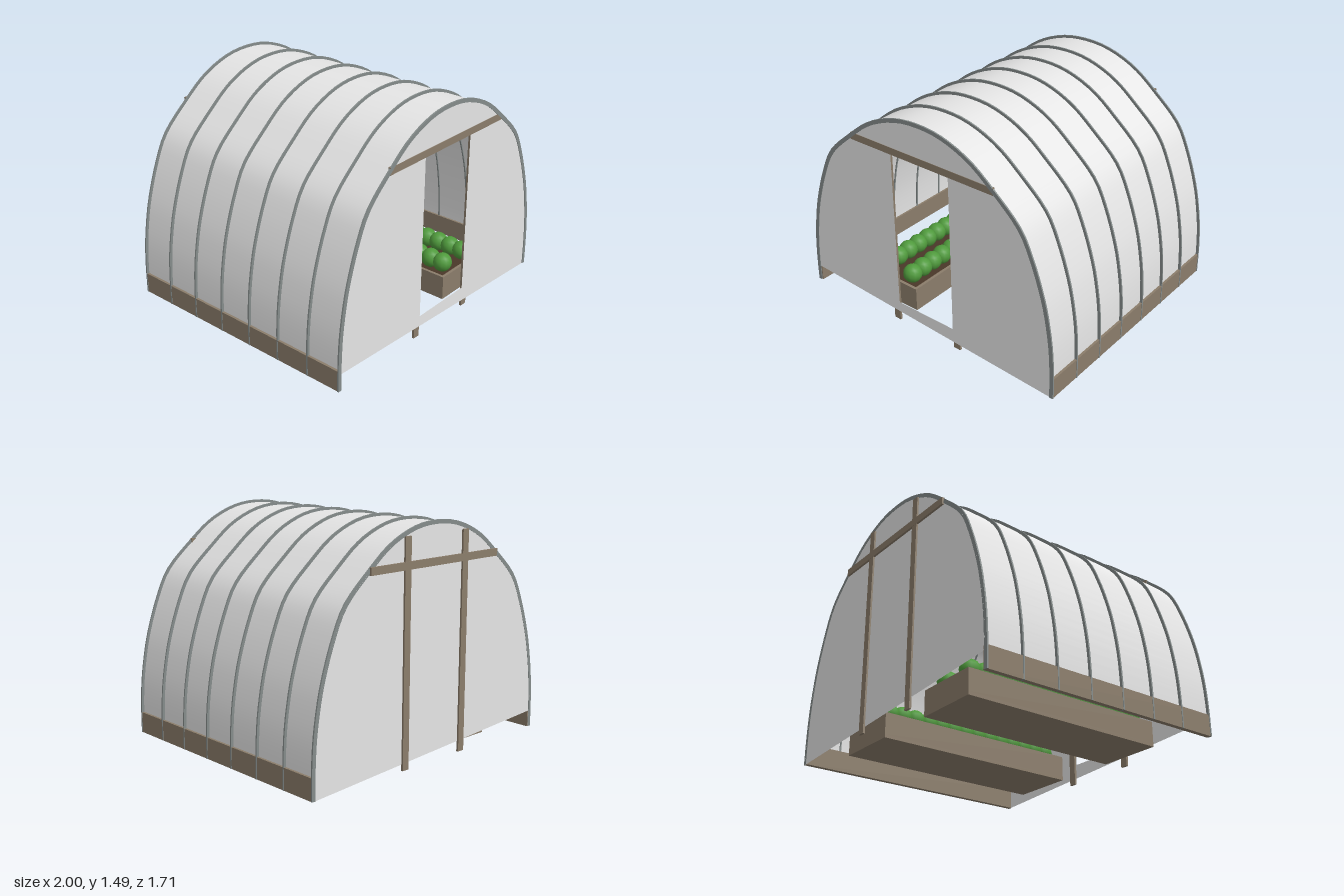
import * as THREE from 'three';

const mat = (name, color, side = THREE.FrontSide) => {
  const m = new THREE.MeshStandardMaterial({ color, side });
  m.name = name;
  return m;
};

// Half of the hoop outline, from the ground up to the ridge
const half = [[1, 0], [0.998, 0.18], [0.987, 0.35], [0.965, 0.5], [0.93, 0.66], [0.845, 0.905],
  [0.757, 1.075], [0.56, 1.257], [0.417, 1.367], [0.283, 1.433], [0.145, 1.473], [0, 1.485]];
const hoopCurve = new THREE.CatmullRomCurve3(
  [...half, ...half.slice(0, -1).reverse().map(([x, y]) => [-x, y])]
    .map(([x, y]) => new THREE.Vector3(x, y, 0)), false, 'centripetal');
const STEPS = 64;

// Hoop outline from +x to -x, moved inwards by an inset
const outline = (inset) => hoopCurve.getSpacedPoints(STEPS)
  .map((p) => new THREE.Vector2(p.x * (1 - inset), p.y * (1 - inset / 1.485)));

export function createModel() {
  const film = mat('cover film', 0xe5e5e5, THREE.DoubleSide);
  const wood = mat('timber', 0x8b7d6b);
  const metal = mat('hoop metal', 0x858c8b);
  const soil = mat('soil', 0x4a3728);
  const leaf = mat('leaves', 0x4f9a3c);

  const model = new THREE.Group();
  model.name = 'greenhouse';

  const add = (name, geometry, material, x = 0, y = 0, z = 0, parent = model) => {
    const mesh = new THREE.Mesh(geometry, material);
    mesh.name = name;
    mesh.position.set(x, y, z);
    parent.add(mesh);
    return mesh;
  };
  // Box given by its lower and upper limits
  const box = (name, material, [x0, x1], [y0, y1], [z0, z1], parent = model) =>
    add(name, new THREE.BoxGeometry(x1 - x0, y1 - y0, z1 - z0), material,
      (x0 + x1) / 2, (y0 + y1) / 2, (z0 + z1) / 2, parent);

  // Curved cover
  const skin = outline(0.018).reverse();
  const cover = new THREE.PlaneGeometry(1, 1, STEPS, 1);
  const pos = cover.attributes.position;
  for (let i = 0; i < pos.count; i++) {
    const p = skin[i % (STEPS + 1)];
    pos.setXYZ(i, p.x, p.y, i <= STEPS ? -0.845 : 0.85);
  }
  cover.computeVertexNormals();
  add('cover', cover, film);

  // Hoops
  const hoopShape = new THREE.Shape([...outline(0), ...outline(0.026).reverse()]);
  const hoopGeometry = new THREE.ExtrudeGeometry(hoopShape, { depth: 0.01, bevelEnabled: false });
  for (let i = 0; i < 8; i++) {
    add('hoop', hoopGeometry, metal, 0, 0, 0.845 - i * 0.2414);
  }

  // End walls with a slanting lower edge; the front one has a doorway
  const wallShape = () => new THREE.Shape(
    [...outline(0.018).filter((p) => p.x > 0 || p.y > 0.11), new THREE.Vector2(-0.982, 0.11)]);
  const front = wallShape();
  front.holes.push(new THREE.Path([[-0.228, 0.14], [-0.228, 1.22], [0.225, 1.22], [0.225, 0.14]]
    .map(([x, y]) => new THREE.Vector2(x, y))));
  add('frontWall', new THREE.ShapeGeometry(front), film, 0, 0, 0.851);
  // Turned so that its outer face looks backwards
  const back = new THREE.ShapeGeometry(wallShape());
  const index = back.index;
  for (let i = 0; i < index.count; i += 3) {
    const a = index.getX(i);
    index.setX(i, index.getX(i + 1));
    index.setX(i + 1, a);
  }
  back.computeVertexNormals();
  add('backWall', back, film, 0, 0, -0.843);

  // Cross beams and door posts at both ends
  box('frontBeam', wood, [-0.56, 0.56], [1.215, 1.262], [0.838, 0.854]);
  box('backBeam', wood, [-0.56, 0.56], [1.215, 1.262], [-0.857, -0.841]);
  for (const s of [-1, 1]) {
    const xs = s > 0 ? [0.23, 0.28] : [-0.28, -0.23];
    box('frontPost', wood, xs, [0, 1.41], [0.834, 0.849]);
    box('backPost', wood, xs, [0, 1.41], [-0.855, -0.84]);

    // Base boards along the sides
    box('baseBoard', wood, s > 0 ? [0.966, 0.997] : [-0.997, -0.966], [0, 0.138], [-0.843, 0.849]);

    // Raised planting bed
    const bed = new THREE.Group();
    bed.name = 'plantingBed';
    bed.position.x = s * 0.4325;
    model.add(bed);
    const w = 0.2175, l = 0.71, t = 0.02, h = 0.165;
    box('bedBottom', wood, [-w, w], [0, t], [-l, l], bed);
    for (const k of [-1, 1]) {
      box('bedSide', wood, [k * w - (k > 0 ? t : 0), k * w + (k > 0 ? 0 : t)], [t, h], [-l, l], bed);
      box('bedEnd', wood, [-w + t, w - t], [t, h],
        [k * l - (k > 0 ? t : 0), k * l + (k > 0 ? 0 : t)], bed);
    }
    box('soil', soil, [-w + t, w - t], [t, 0.145], [-l + t, l - t], bed);

    // Two rows of plants
    const plant = new THREE.SphereGeometry(0.065, 12, 8);
    for (const x of [-0.11, 0.11]) {
      for (let i = 0; i < 14; i++) add('plant', plant, leaf, x, 0.205, -0.624 + i * 0.096, bed);
    }
  }
  return model;
}
